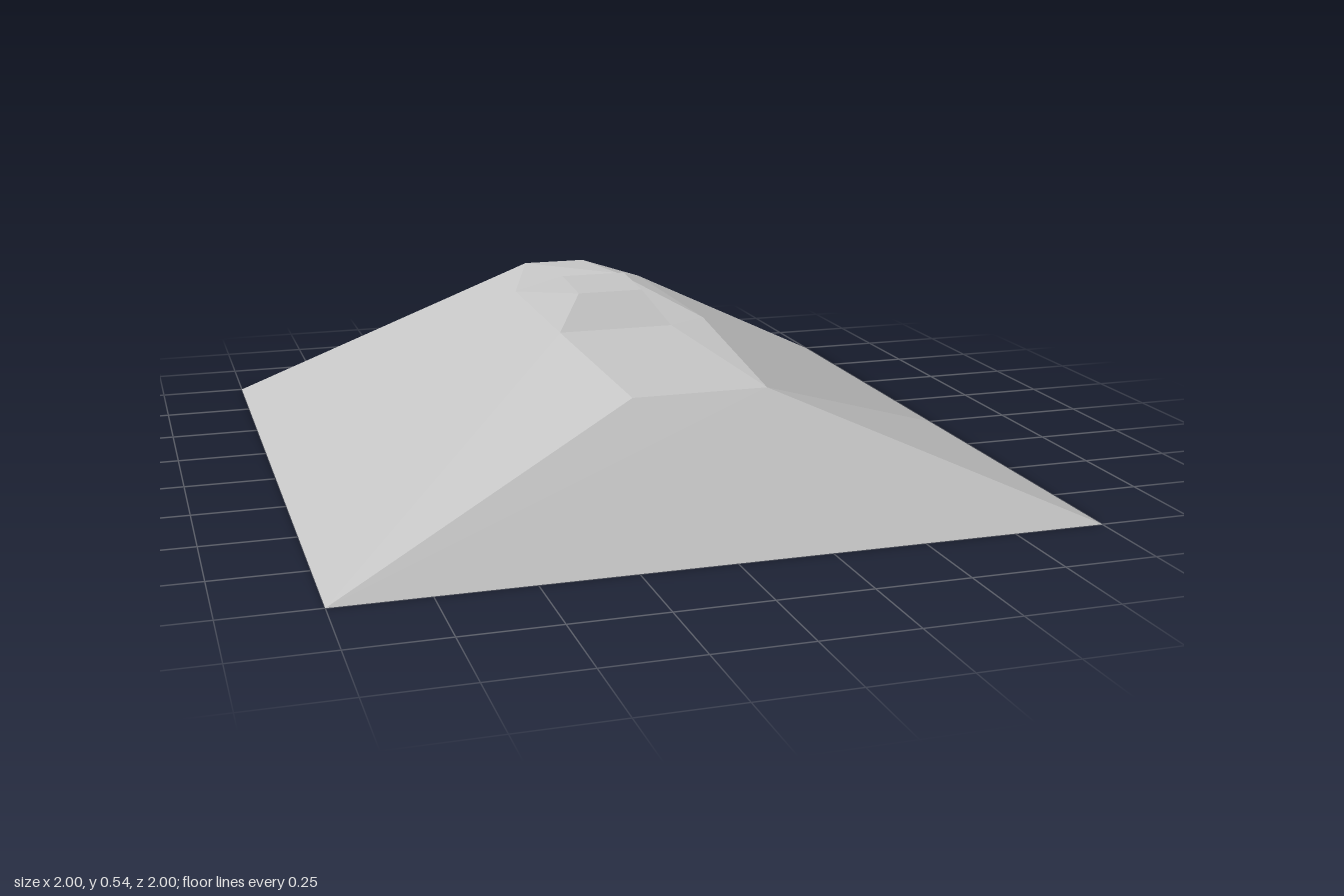
import * as THREE from 'three';

// Named corner points of the shell
const P = {
  // ground outline
  gFL: [-1, 0, 1], gFR: [1, 0, 1], gR: [1, 0, 0], gBR: [1, 0, -1],
  gB: [0, 0, -1], gBL: [-1, 0, -1], gL: [-1, 0, -0.5],
  // plateau rim
  fL: [-0.18, 0.355, 0.71], fR: [0.18, 0.355, 0.71], r: [0.18, 0.43, 0.21],
  bR: [0.18, 0.43, -0.4], bM: [0, 0.49, -0.4], bL: [-0.18, 0.49, -0.4],
  // foot of the raised block
  A: [-0.255, 0.433, 0.29], B: [0.06, 0.433, 0.29],
  C: [0.06, 0.48, -0.22], D: [-0.255, 0.443, -0.22],
  // top of the raised block
  tA: [-0.18, 0.52, 0.21], tB: [0, 0.52, 0.21],
  tC: [0, 0.535, 0.04], tD: [-0.18, 0.535, 0.04],
};

// Flat-shaded faces from corner names, each fanned and turned upward
function facets(name, faces, material) {
  const pos = [];
  for (const face of faces) {
    const v = face.split(' ').map((k) => new THREE.Vector3(...P[k]));
    for (let i = 1; i < v.length - 1; i++) {
      const tri = [v[0], v[i], v[i + 1]];
      const n = tri[1].clone().sub(tri[0]).cross(tri[2].clone().sub(tri[0]));
      if (n.y < 0) tri.reverse();
      for (const p of tri) pos.push(p.x, p.y, p.z);
    }
  }
  const geo = new THREE.BufferGeometry();
  geo.setAttribute('position', new THREE.Float32BufferAttribute(pos, 3));
  geo.computeVertexNormals();
  const mesh = new THREE.Mesh(geo, material);
  mesh.name = name;
  return mesh;
}

export function createModel() {
  const group = new THREE.Group();
  group.name = 'hill';
  const grey = new THREE.MeshStandardMaterial({ color: 0xc4c4c4, side: THREE.DoubleSide, flatShading: true });
  grey.name = 'light grey';

  group.add(
    // outer slopes, open underneath
    facets('frontSlope', ['gFL gFR fR fL'], grey),
    facets('rightSideSlope', ['gFL fL A', 'gFL A gL', 'gL A D', 'gL D bL', 'gL bL gBL'], grey),
    facets('leftSideSlope', ['gFR gR fR', 'gR r fR', 'gR gBR bR r'], grey),
    facets('backSlope', ['gBR gB bR', 'gB bM bR', 'gB bL bM', 'gB gBL bL'], grey),
    // plateau around the block
    facets('plateau', ['fL fR B A', 'fR r B', 'r C B', 'r bR C', 'bR bM C', 'bM bL C', 'bL D C'], grey),
    // raised block with a sloping back
    facets('blockWalls', ['A B tB tA', 'B C tC tB', 'C D tD tC', 'D A tA tD'], grey),
    facets('blockTop', ['tA tB tC tD'], grey),
  );
  return group;
}
